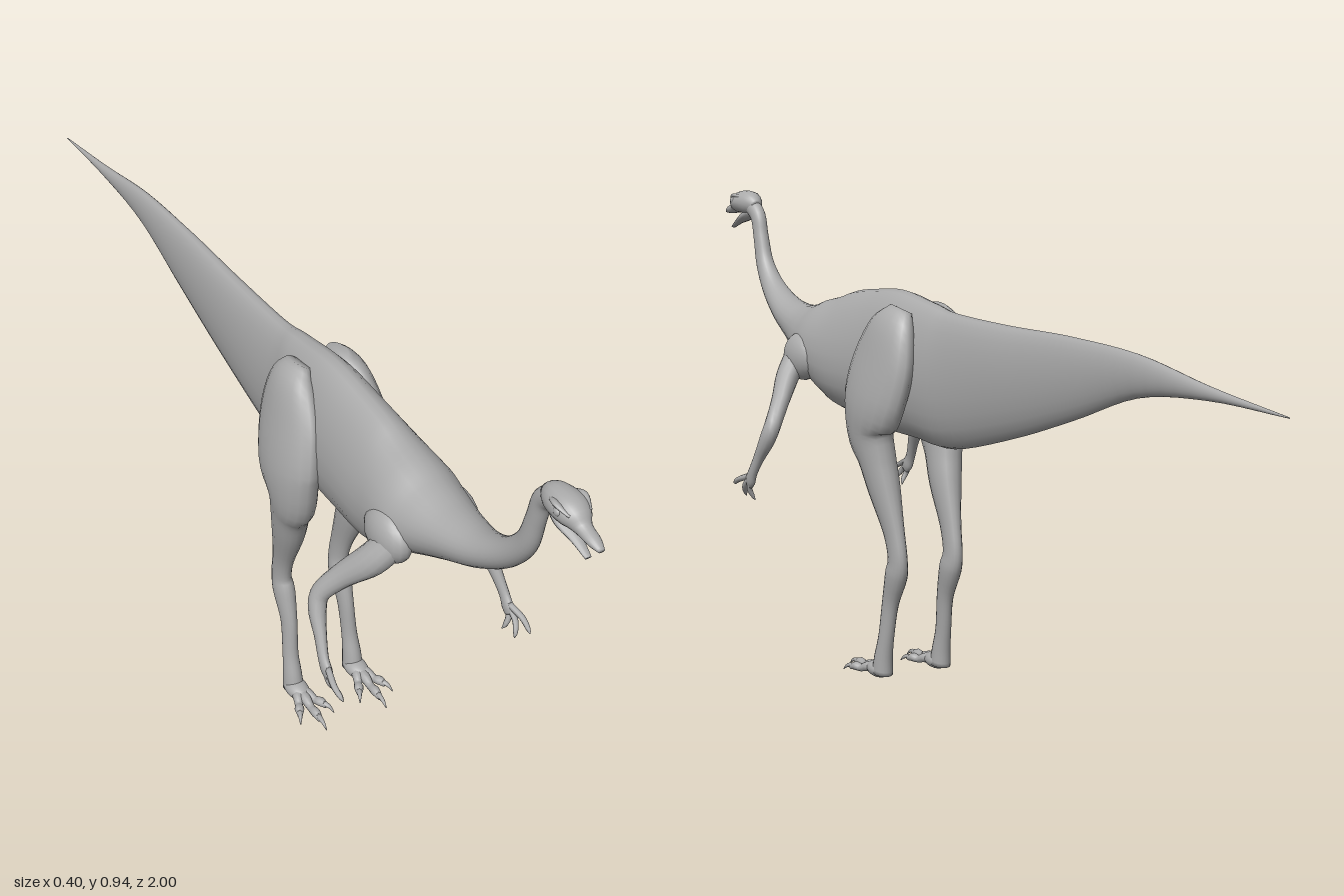
import * as THREE from 'three';

const skin = new THREE.MeshStandardMaterial({ color: 0xaaaaaa });
skin.name = 'grey skin';

// Smooth closed loft. Each ring: [x, y, z, half width, half depth, taper towards the "up" side].
function loft(name, rings, sides = 16, steps = 5) {
  const centre = new THREE.CatmullRomCurve3(rings.map(r => new THREE.Vector3(r[0], r[1], r[2])), false, 'catmullrom', 0.5);
  const size = new THREE.CatmullRomCurve3(rings.map(r => new THREE.Vector3(r[3], r[4], r[5] || 0)), false, 'catmullrom', 0.5);
  const n = (rings.length - 1) * steps;
  const pos = [], index = [];
  for (let i = 0; i <= n; i++) {
    const c = centre.getPoint(i / n), w = size.getPoint(i / n);
    const t = centre.getTangent(i / n);
    const s = new THREE.Vector3(1, 0, 0).addScaledVector(t, -t.x).normalize();
    const u = new THREE.Vector3().crossVectors(t, s);
    const a = Math.max(w.x, 0.0006), b = Math.max(w.y, 0.0006);
    for (let j = 0; j < sides; j++) {
      const q = (j / sides) * Math.PI * 2, sn = Math.sin(q);
      const p = c.clone().addScaledVector(s, a * Math.cos(q) * (1 - w.z * sn)).addScaledVector(u, b * sn);
      pos.push(p.x, p.y, p.z);
    }
  }
  for (let i = 0; i < n; i++) for (let j = 0; j < sides; j++) {
    const k = (j + 1) % sides, a = i * sides + j, b = i * sides + k;
    index.push(a, b, a + sides, b, b + sides, a + sides);
  }
  // end caps
  const first = centre.getPoint(0), last = centre.getPoint(1), f = pos.length / 3;
  pos.push(first.x, first.y, first.z, last.x, last.y, last.z);
  for (let j = 0; j < sides; j++) {
    const k = (j + 1) % sides;
    index.push(f, k, j, f + 1, n * sides + j, n * sides + k);
  }
  const g = new THREE.BufferGeometry();
  g.setAttribute('position', new THREE.Float32BufferAttribute(pos, 3));
  g.setIndex(index);
  g.computeVertexNormals();
  const mesh = new THREE.Mesh(g, skin);
  mesh.name = name;
  return mesh;
}

function ball(name, p, r) {
  const mesh = new THREE.Mesh(new THREE.SphereGeometry(1, 20, 14), skin);
  mesh.position.set(...p);
  mesh.scale.set(...r);
  mesh.name = name;
  return mesh;
}

// Tail, trunk and neck in one run from tail tip to skull
function body() {
  return loft('body', [
    [0, 0.675, -1.0, 0.001, 0.001],
    [0, 0.688, -0.8, 0.009, 0.012],
    [0, 0.694, -0.6, 0.016, 0.038],
    [0, 0.667, -0.4, 0.024, 0.075],
    [0, 0.637, -0.2, 0.033, 0.105],
    [0, 0.616, 0.0, 0.042, 0.132, 0.1],
    [0, 0.624, 0.1, 0.056, 0.138, 0.1],
    [0, 0.632, 0.2, 0.066, 0.143, 0.15],
    [0, 0.634, 0.3, 0.073, 0.134, 0.2],
    [0, 0.634, 0.4, 0.08, 0.121, 0.2],
    [0, 0.645, 0.48, 0.084, 0.092, 0.15],
    [0, 0.652, 0.54, 0.073, 0.068, 0.1],
    [0, 0.664, 0.61, 0.055, 0.047],
    [0, 0.687, 0.69, 0.039, 0.033],
    [0, 0.727, 0.76, 0.027, 0.026],
    [0, 0.78, 0.808, 0.019, 0.022],
    [0, 0.84, 0.828, 0.016, 0.019],
    [0, 0.885, 0.842, 0.016, 0.019],
    [0, 0.91, 0.875, 0.018, 0.02],
  ], 24, 5);
}

function head() {
  const g = new THREE.Group();
  g.name = 'head';
  g.add(loft('skull', [
    [0, 0.902, 0.85, 0.012, 0.016],
    [0, 0.911, 0.873, 0.025, 0.025],
    [0, 0.914, 0.905, 0.031, 0.025],
    [0, 0.91, 0.928, 0.027, 0.022],
    [0, 0.9, 0.95, 0.015, 0.013],
    [0, 0.894, 0.978, 0.012, 0.009],
    [0, 0.889, 0.997, 0.006, 0.004],
  ], 18));
  g.add(loft('lowerJaw', [
    [0, 0.895, 0.87, 0.014, 0.012],
    [0, 0.882, 0.9, 0.018, 0.01],
    [0, 0.87, 0.935, 0.011, 0.006],
    [0, 0.856, 0.967, 0.006, 0.003],
  ], 12));
  for (const m of [1, -1]) {
    g.add(ball('eye', [m * 0.027, 0.918, 0.915], [0.005, 0.007, 0.008]));
    g.add(loft('brow', [
      [m * 0.02, 0.926, 0.888, 0.004, 0.003],
      [m * 0.026, 0.929, 0.91, 0.006, 0.004],
      [m * 0.019, 0.92, 0.937, 0.003, 0.002],
    ], 8));
  }
  return g;
}

function hindLeg(m) {
  const g = new THREE.Group();
  g.name = m > 0 ? 'leftHindLeg' : 'rightHindLeg';
  g.add(loft('leg', [
    [m * 0.04, 0.745, 0.13, 0.015, 0.035],
    [m * 0.056, 0.71, 0.135, 0.03, 0.068],
    [m * 0.068, 0.64, 0.15, 0.038, 0.095],
    [m * 0.081, 0.56, 0.17, 0.041, 0.094],
    [m * 0.081, 0.5, 0.182, 0.039, 0.066],
    [m * 0.076, 0.45, 0.166, 0.035, 0.046],
    [m * 0.07, 0.39, 0.148, 0.03, 0.039],
    [m * 0.065, 0.31, 0.12, 0.019, 0.028],
    [m * 0.063, 0.255, 0.108, 0.017, 0.026],
    [m * 0.062, 0.22, 0.116, 0.02, 0.028],
    [m * 0.063, 0.16, 0.138, 0.015, 0.021],
    [m * 0.066, 0.09, 0.15, 0.015, 0.018],
    [m * 0.067, 0.045, 0.16, 0.018, 0.021],
    [m * 0.067, 0.012, 0.165, 0.02, 0.024],
  ], 18, 4));
  g.add(ball('footPad', [m * 0.067, 0.018, 0.178], [0.022, 0.017, 0.035]));
  // three toes, each ending in a claw
  for (const [dx, reach] of [[-0.03, 0.245], [0, 0.275], [0.029, 0.245]]) {
    const at = (k, y, r) => [m * (0.067 + dx * k), y, 0.18 + (reach - 0.18) * k, r, r * 0.95];
    g.add(loft('toe', [at(0, 0.016, 0.012), at(0.35, 0.018, 0.011), at(0.6, 0.012, 0.008), at(0.8, 0.014, 0.0095), at(1, 0.01, 0.005)], 10, 3));
    g.add(loft('toeClaw', [at(0.9, 0.014, 0.006), at(1.1, 0.012, 0.004), at(1.25, 0.003, 0.001)], 8, 3));
  }
  return g;
}

function arm(m) {
  const g = new THREE.Group();
  g.name = m > 0 ? 'leftArm' : 'rightArm';
  g.add(ball('shoulder', [m * 0.066, 0.615, 0.5], [0.034, 0.05, 0.062]));
  g.add(loft('upperArmAndForearm', [
    [m * 0.066, 0.62, 0.525, 0.024, 0.032],
    [m * 0.1, 0.575, 0.505, 0.024, 0.03],
    [m * 0.135, 0.53, 0.47, 0.019, 0.023],
    [m * 0.165, 0.487, 0.445, 0.017, 0.019],
    [m * 0.176, 0.455, 0.45, 0.016, 0.018],
    [m * 0.183, 0.415, 0.475, 0.011, 0.013],
    [m * 0.188, 0.382, 0.495, 0.009, 0.012],
    [m * 0.188, 0.362, 0.508, 0.009, 0.015],
    [m * 0.187, 0.35, 0.515, 0.006, 0.011],
  ], 14, 4));
  // three clawed fingers
  const tips = [[0.176, 0.318, 0.512], [0.178, 0.322, 0.55], [0.193, 0.345, 0.576]];
  tips.forEach(([x, y, z], i) => g.add(loft('finger', [
    [m * 0.188, 0.37, 0.498 + i * 0.007, 0.006, 0.007],
    [m * (x * 0.4 + 0.118), y * 0.5 + 0.187, z * 0.5 + 0.257, 0.006, 0.006],
    [m * (x * 0.8 + 0.04), y * 0.8 + 0.074, z * 0.8 + 0.106, 0.0045, 0.005],
    [m * x, y, z, 0.001, 0.001],
  ], 8, 4)));
  return g;
}

export function createModel() {
  const model = new THREE.Group();
  model.name = 'longNeckedRunningDinosaur';
  model.add(body(), head());
  for (const m of [1, -1]) model.add(hindLeg(m), arm(m));
  return model;
}
